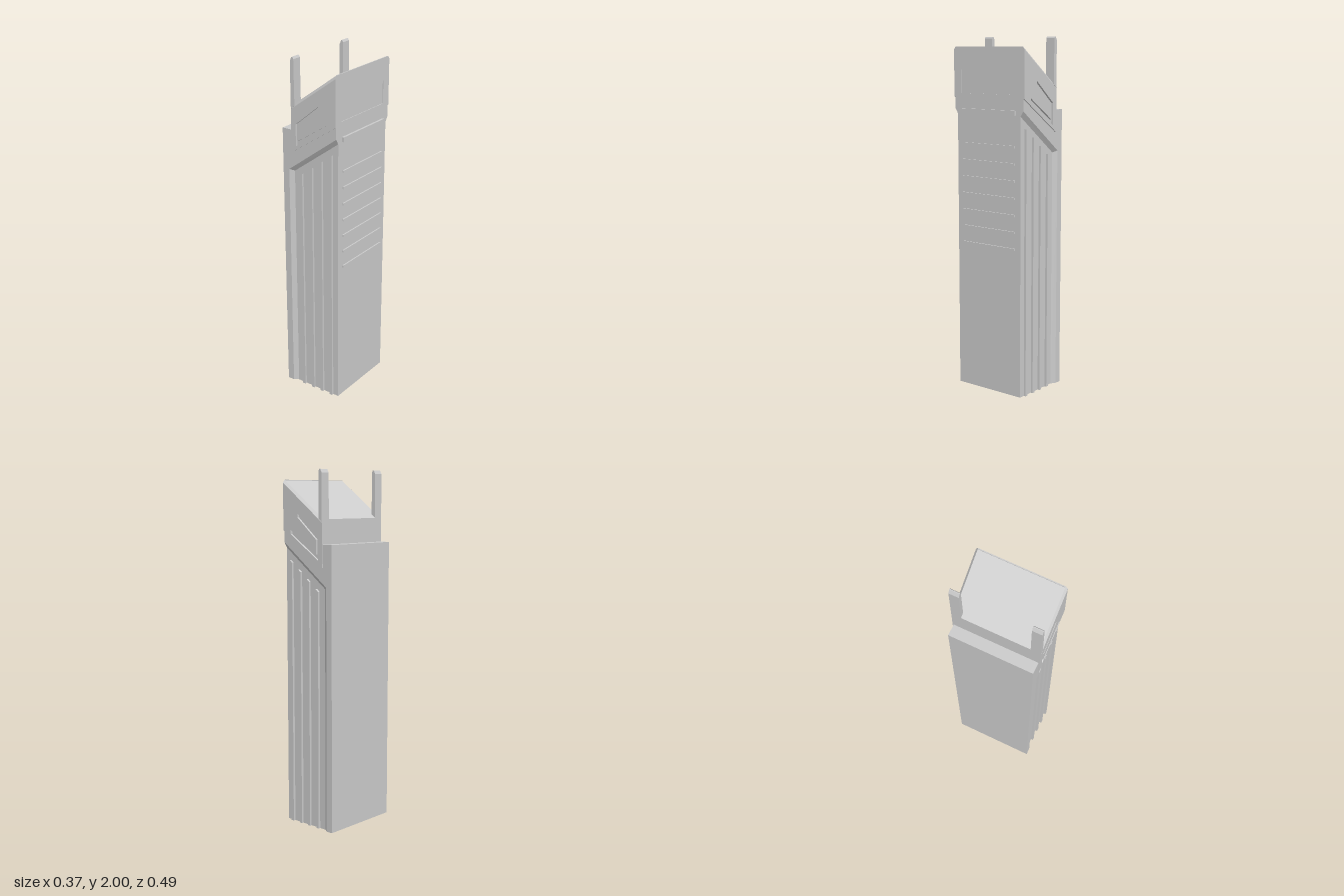
import * as THREE from 'three';

const material = new THREE.MeshStandardMaterial({ color: 0xcccccc, flatShading: true });
const toShape = (pts) => new THREE.Shape(pts.map(([x, y]) => new THREE.Vector2(x, y)));

// Prism of an x-y outline between two z values, with optional hole outline.
function prism(pts, z0, z1, hole) {
  const shape = toShape(pts);
  if (hole) shape.holes.push(toShape(hole));
  const g = new THREE.ExtrudeGeometry(shape, { depth: z1 - z0, bevelEnabled: false });
  return g.translate(0, 0, z0);
}

// Slides the vertices lying on one outline to the matching points of another, where test(z) holds.
function morph(g, from, to, test) {
  const p = g.attributes.position;
  for (let i = 0; i < p.count; i++) {
    if (!test(p.getZ(i))) continue;
    const k = from.findIndex(([x, y]) => Math.hypot(x - p.getX(i), y - p.getY(i)) < 1e-4);
    if (k >= 0) p.setXY(i, to[k][0], to[k][1]);
  }
  g.computeVertexNormals();
  return g;
}

export function createModel() {
  const model = new THREE.Group();
  const add = (name, geometry) => {
    const mesh = new THREE.Mesh(geometry, material);
    mesh.name = name;
    model.add(mesh);
    return mesh;
  };
  const box = (name, x0, x1, y0, y1, z) => add(name,
    new THREE.BoxGeometry(x1 - x0, y1 - y0, 2 * z)
      .translate((x0 + x1) / 2, (y0 + y1) / 2, 0));
  // Adds a +z geometry and its half-turn-free mirror on -z.
  const pair = (name, make) => {
    add(name + 'Front', make(1));
    add(name + 'Back', make(-1));
  };
  const sidePrism = (s, pts, a, b, hole) => (s > 0 ? prism(pts, a, b, hole) : prism(pts, -b, -a, hole));

  const BACK = -0.185, STEP = -0.12, FACE = 0.172;

  // Recessed shaft
  add('shaft', prism([[-0.15, 0], [FACE, 0], [FACE, 1.63], [-0.15, 1.4]], -0.222, 0.222));

  // Rear slab and sloping band, chamfered down into the side recesses
  const outer = [[BACK, 0], [-0.145, 0], [-0.145, 1.37], [FACE, 1.605], [FACE, 1.675],
    [STEP, 1.48], [STEP, 1.6], [BACK, 1.6]];
  const inner = outer.map((p) => [...p]);
  inner[1] = [STEP, 0];
  inner[2] = [STEP, 1.36];
  inner[3] = [FACE, 1.575];
  pair('recessFrame', (s) =>
    morph(sidePrism(s, outer, 0.222, 0.24), outer, inner, (z) => Math.abs(z) < 0.23));
  box('rearSlab', BACK, STEP, 0, 1.6, 0.222);

  // Upright ribs on both sides
  [-0.07, -0.003, 0.062, 0.128].forEach((x, i) => {
    const top = 1.35 + i * 0.05, w = 0.009;
    pair('sideRib' + (i + 1), (s) => sidePrism(s,
      [[x - w, 0], [x + w, 0], [x + w, top + 0.007], [x - w, top - 0.007]], 0.215, 0.235));
  });

  // Cap with sloping roof
  add('capCore', prism([[STEP, 1.47], [0.168, 1.6], [0.168, 1.944], [STEP, 1.735]], -0.235, 0.235));

  // Cap cheeks with a C-shaped groove and a bevelled upper edge
  const cheek = [[STEP, 1.475], [FACE, 1.67], [FACE, 1.93], [STEP, 1.718]];
  const cheekIn = [cheek[0], cheek[1], [FACE, 1.947], [STEP, 1.735]];
  const groove = [[-0.09, 1.515], [0.115, 1.65], [0.115, 1.672], [-0.076, 1.547],
    [-0.076, 1.627], [0.062, 1.742], [0.062, 1.764], [-0.09, 1.638]];
  pair('capCheek', (s) =>
    morph(sidePrism(s, cheek, 0.235, 0.247, groove), cheek, cheekIn, (z) => Math.abs(z) < 0.24));

  // Cap face with a shallow rectangular panel
  const rect = (w, y0, y1) => [[-w, y0], [w, y0], [w, y1], [-w, y1]];
  add('capFace', prism(rect(0.235, 1.6, 1.946), 0, 0.006, rect(0.193, 1.69, 1.82))
    .rotateY(Math.PI / 2).translate(FACE - 0.006, 0, 0));

  // Prongs on the rear corners
  const prong = [[STEP, 1.72], [-0.095, 1.74], [-0.097, 1.99], [-0.103, 2], [-0.109, 2], [STEP, 1.98]];
  pair('prong', (s) => sidePrism(s, prong, 0.192, 0.247));

  // Ledge and thin horizontal ridges on the face
  box('ledge', 0.16, 0.185, 1.58, 1.606, 0.19);
  for (let i = 0; i < 7; i++) {
    const y = 0.845 + i * 0.0943;
    box('ridge' + (i + 1), 0.165, 0.18, y - 0.006, y + 0.006, 0.184);
  }
  return model;
}
